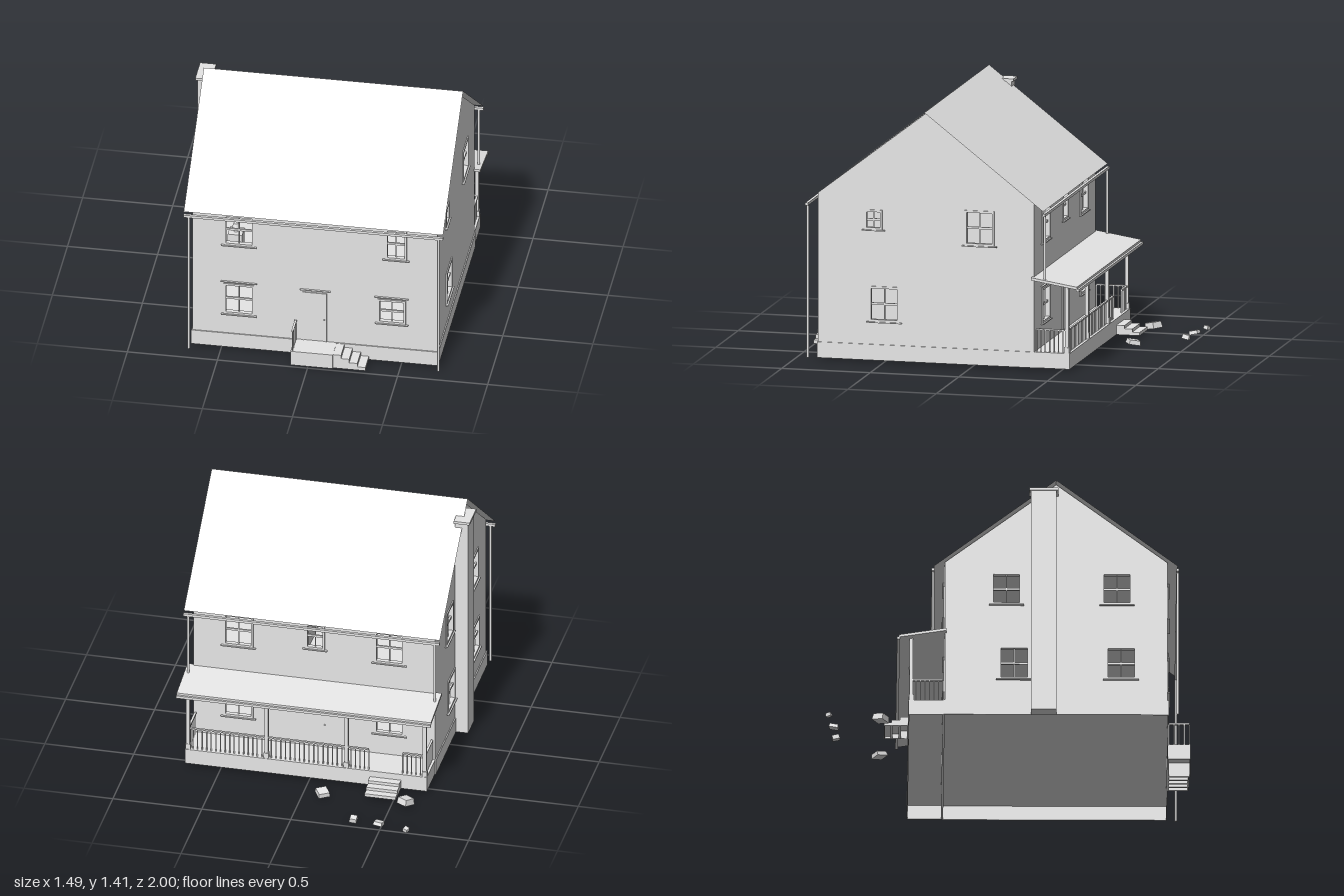
import * as THREE from 'three';

const plaster = new THREE.MeshStandardMaterial({ color: 0xe6e6e6, side: THREE.DoubleSide });
plaster.name = 'light grey';

const X0 = -0.66, X1 = 0.70, Z0 = -0.35, Z1 = 0.87, XC = 0.02, RIDGE = 0.26;

function add(parent, name, geometry, x = 0, y = 0, z = 0) {
  const mesh = new THREE.Mesh(geometry, plaster);
  mesh.name = name;
  mesh.position.set(x, y, z);
  parent.add(mesh);
  return mesh;
}

// Box given by its minimum and maximum corners
function block(parent, name, x0, x1, y0, y1, z0, z1) {
  return add(parent, name, new THREE.BoxGeometry(x1 - x0, y1 - y0, z1 - z0),
    (x0 + x1) / 2, (y0 + y1) / 2, (z0 + z1) / 2);
}

// Hollow plinth: thin walls and a top plate, open underneath
function plinth(parent, name, x0, x1, y0, y1, z0, z1) {
  const t = 0.006;
  block(parent, name + 'Top', x0, x1, y1 - t, y1, z0, z1);
  for (const x of [x0, x1 - t]) block(parent, name + 'Side', x, x + t, y0, y1 - t, z0, z1);
  for (const z of [z0, z1 - t]) block(parent, name + 'Face', x0 + t, x1 - t, y0, y1 - t, z, z + t);
}

function polygon(points) {
  return new THREE.Shape(points.map(p => new THREE.Vector2(p[0], p[1])));
}

function rectPath([u0, u1, v0, v1]) {
  return polygon([[u0, v0], [u0, v1], [u1, v1], [u1, v0]]);
}

// Sash window with frame, glazing bars, sill and optional head moulding
function addWindow(wall, [u0, u1, v0, v1], head) {
  const g = new THREE.Group();
  g.name = 'window';
  const t = 0.012, um = (u0 + u1) / 2, vm = (v0 + v1) / 2;
  for (const [a, b] of [[u0, u0 + t], [u1 - t, u1]]) block(g, 'windowJamb', a, b, v0, v1, -0.02, 0.006);
  for (const [a, b] of [[v0, v0 + t], [v1 - t, v1]]) block(g, 'windowRail', u0 + t, u1 - t, a, b, -0.02, 0.006);
  block(g, 'meetingRail', u0 + t, u1 - t, vm - 0.006, vm + 0.006, -0.014, -0.004);
  block(g, 'glazingBar', um - 0.003, um + 0.003, v0 + t, v1 - t, -0.012, -0.006);
  block(g, 'windowSill', u0 - 0.014, u1 + 0.014, v0 - 0.006, v0, 0, 0.014);
  if (head) block(g, 'windowHead', u0 - 0.016, u1 + 0.016, v1 + 0.011, v1 + 0.015, 0, 0.012);
  wall.add(g);
}

// Wall in its own plane, facing local +z, with cut window openings
function addWall(parent, name, outline, windows, head) {
  const wall = new THREE.Group();
  wall.name = name;
  const shape = polygon(outline);
  for (const w of windows) {
    shape.holes.push(rectPath(w));
    addWindow(wall, w, head);
  }
  add(wall, name + 'Panel', new THREE.ExtrudeGeometry(shape, { depth: 0.02, bevelEnabled: false }), 0, 0, -0.02);
  parent.add(wall);
  return wall;
}

function addDoor(wall, u0, u1) {
  const t = 0.008;
  block(wall, 'door', u0 + t, u1 - t, 0.10, 0.402, 0, 0.003);
  for (const [a, b] of [[u0, u0 + t], [u1 - t, u1]]) block(wall, 'doorJamb', a, b, 0.10, 0.41, 0, 0.006);
  block(wall, 'doorTop', u0 + t, u1 - t, 0.402, 0.41, 0, 0.006);
  block(wall, 'doorHead', u0 - 0.015, u1 + 0.02, 0.424, 0.428, 0, 0.012);
  add(wall, 'doorKnob', new THREE.SphereGeometry(0.004, 10, 8), u1 - 0.014, 0.24, 0.006);
}

// Railing of balusters between two ground points
function addRailing(parent, xa, za, xb, zb) {
  const g = new THREE.Group();
  g.name = 'railing';
  const length = Math.hypot(xb - xa, zb - za);
  g.position.set(xa, 0.098, za);
  g.rotation.y = Math.atan2(-(zb - za), xb - xa);
  block(g, 'handrail', 0, length, 0.122, 0.13, -0.006, 0.006);
  const n = Math.max(2, Math.round(length / 0.026));
  for (let i = 0; i <= n; i++) {
    add(g, 'baluster', new THREE.BoxGeometry(0.006, 0.122, 0.006), length * i / n, 0.061, 0);
  }
  parent.add(g);
}

// Slab following a line in the y-z plane, swept along x
function slab(parent, name, x0, x1, pts) {
  const geo = new THREE.ExtrudeGeometry(polygon(pts.map(([z, y]) => [-z, y])), { depth: x1 - x0, bevelEnabled: false });
  geo.rotateY(Math.PI / 2);
  return add(parent, name, geo, x0, 0, 0);
}

export function createModel() {
  const house = new THREE.Group();
  house.name = 'house';

  // Foundation, open underneath
  plinth(house, 'foundation', X0 - 0.006, X1 + 0.006, 0.01, 0.098, Z0 - 0.006, Z1 + 0.006);

  // Front and back walls
  const flat = (a, b) => [[a, 0.098], [b, 0.098], [b, 0.93], [a, 0.93]];
  const front = addWall(house, 'frontWall', flat(X0, X1), [
    [-0.486, -0.318, 0.225, 0.42], [0.368, 0.524, 0.255, 0.408],
    [-0.486, -0.318, 0.672, 0.866], [0.41, 0.53, 0.672, 0.866]], true);
  front.position.z = Z1;
  addDoor(front, -0.048, 0.086);
  const back = addWall(house, 'backWall', flat(-X1, -X0), [
    [0.318, 0.486, 0.225, 0.42], [-0.53, -0.362, 0.225, 0.42],
    [0.318, 0.486, 0.672, 0.866], [-0.53, -0.362, 0.672, 0.866], [-0.07, 0.04, 0.71, 0.866]], true);
  back.position.z = Z0;
  back.rotation.y = Math.PI;
  addDoor(back, -0.08, 0.055);

  // Gable walls
  const gable = (a, b, ridge) => [[a, 0.098], [b, 0.098], [b, 0.93], [ridge, 1.40], [a, 0.93]];
  const right = addWall(house, 'gableWall', gable(-Z1, -Z0, -RIDGE), [
    [-0.608, -0.507, 0.737, 0.848], [-0.042, 0.125, 0.675, 0.87], [-0.582, -0.41, 0.225, 0.422]], false);
  right.position.x = X1;
  right.rotation.y = Math.PI / 2;
  const left = addWall(house, 'chimneyWall', gable(Z0, Z1, RIDGE), [
    [-0.095, 0.07, 0.675, 0.868], [0.51, 0.675, 0.675, 0.868],
    [-0.055, 0.115, 0.225, 0.422], [0.53, 0.70, 0.225, 0.422]], false);
  left.position.x = X0;
  left.rotation.y = -Math.PI / 2;

  // Floors and room partitions
  for (const y of [0.53, 0.90]) block(house, 'innerFloor', X0 + 0.02, X1 - 0.02, y, y + 0.01, Z0 + 0.02, Z1 - 0.02);
  block(house, 'upperPartition', X0 + 0.02, X1 - 0.02, 0.54, 0.90, 0.255, 0.265);
  block(house, 'lowerPartition', 0.13, X1 - 0.02, 0.10, 0.53, 0.255, 0.265);
  block(house, 'crossPartition', 0.12, 0.13, 0.10, 0.90, Z0 + 0.02, Z1 - 0.02);

  // Lamp on a side table
  block(house, 'sideTable', -0.48, -0.40, 0.54, 0.68, 0.70, 0.78);
  add(house, 'lampBase', new THREE.CylinderGeometry(0.006, 0.012, 0.025, 10), -0.44, 0.692, 0.74);
  add(house, 'lampShade', new THREE.CylinderGeometry(0.013, 0.022, 0.03, 12), -0.44, 0.718, 0.74);

  // Main roof: two thin sheets meeting at the ridge
  for (const [z, side] of [[0.925, 1], [-0.41, -1]]) {
    const run = Math.abs(z - RIDGE), drop = 0.776 * run;
    const sheet = add(house, 'roofSlope', new THREE.PlaneGeometry(1.44, Math.hypot(run, drop)),
      XC, 1.41 - drop / 2, (z + RIDGE) / 2);
    sheet.rotation.x = side * Math.atan2(run, drop) - (side > 0 ? Math.PI / 2 : -Math.PI / 2) - side * Math.PI / 2;
    sheet.rotation.x = -side * Math.atan2(run, drop);
  }

  // Gutters and downspouts
  for (const [z, bottom] of [[0.925, 0.01], [-0.414, 0.50]]) {
    block(house, 'gutter', XC - 0.72, XC + 0.72, 0.862, 0.877, z - 0.008, z + 0.008);
    for (const x of [X0 - 0.012, X1 + 0.014]) {
      add(house, 'downspout', new THREE.CylinderGeometry(0.007, 0.007, 0.865 - bottom, 10), x, (0.865 + bottom) / 2, z);
    }
  }

  // Chimney
  block(house, 'chimneyStack', -0.735, X0, 0.01, 1.33, 0.122, 0.262);
  block(house, 'chimneyCap', -0.745, -0.655, 1.33, 1.345, 0.112, 0.272);

  // Back porch
  const porch = new THREE.Group();
  porch.name = 'backPorch';
  house.add(porch);
  plinth(porch, 'porchBase', X0, X1, 0.01, 0.098, -0.55, Z0 - 0.006);
  slab(porch, 'porchRoof', -0.695, 0.735, [[-0.34, 0.518], [-0.60, 0.477], [-0.60, 0.462], [-0.34, 0.503]]);
  block(porch, 'porchGutter', -0.695, 0.735, 0.45, 0.465, -0.612, -0.596);
  block(porch, 'porchBeam', X0, X1, 0.455, 0.47, -0.542, -0.525);
  const posts = [-0.645, -0.205, 0.245, 0.685];
  for (const x of posts) {
    block(porch, 'porchPost', x - 0.01, x + 0.01, 0.098, 0.475, -0.543, -0.523);
    block(porch, 'postFoot', x - 0.014, x + 0.014, 0.098, 0.13, -0.547, -0.519);
  }
  for (const [a, b] of [[-0.645, -0.52], [-0.33, -0.205], [-0.205, 0.245], [0.245, 0.685]]) {
    addRailing(porch, a, -0.533, b, -0.533);
  }
  for (const x of [posts[0], posts[3]]) addRailing(porch, x, -0.36, x, -0.533);
  [[-0.595, 0.062], [-0.64, 0.045], [-0.682, 0.028]].forEach(([z, y], i) =>
    plinth(porch, 'porchStep', -0.515, -0.34, 0.01, y, z, -0.55 - i * 0.045));

  // Front stoop with sideways steps
  const stoop = new THREE.Group();
  stoop.name = 'frontStoop';
  house.add(stoop);
  plinth(stoop, 'stoopLanding', -0.095, 0.14, 0.01, 0.098, Z1 + 0.006, 1.0);
  [[0.14, 0.185, 0.096], [0.185, 0.23, 0.075], [0.23, 0.275, 0.053], [0.275, 0.32, 0.031]].forEach(([a, b, y]) =>
    plinth(stoop, 'stoopStep', a, b, 0.01, y, Z1 + 0.006, 0.992));
  addRailing(stoop, -0.085, 0.88, -0.085, 0.993);

  // Loose stones behind the house: x, z, size, turn, height
  const stones = [[-0.645, -0.985, 0.03, 0.4, 0.02], [-0.485, -0.955, 0.052, 0.1, 0.02], [-0.34, -0.945, 0.042, 0, 0.025],
    [-0.577, -0.70, 0.07, 0.55, 0.035], [-0.11, -0.705, 0.068, -0.55, 0.025]];
  stones.forEach(([x, z, size, turn, h], i) => {
    const geo = new THREE.CylinderGeometry(size * 0.62, size * 0.7, h, 4, 1).rotateY(Math.PI / 4).toNonIndexed();
    geo.computeVertexNormals();
    const stone = add(house, 'stone', geo, x, h / 2 + size * 0.12, z);
    stone.rotation.set(0.22 * (i % 2 ? 1 : -1), -turn, 0.1);
  });

  return house;
}
